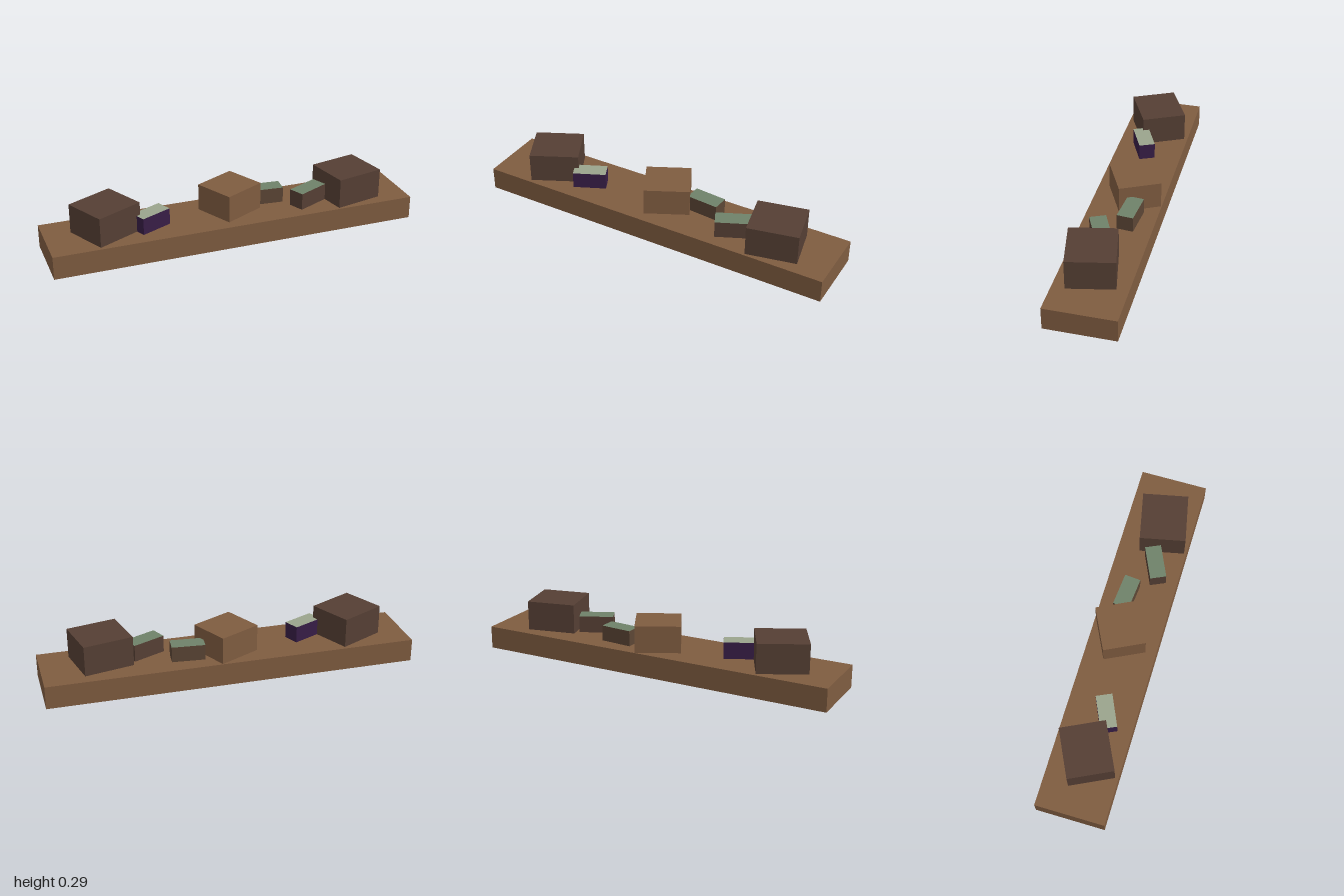
import * as THREE from 'three';

function material(name, color) {
  const m = new THREE.MeshStandardMaterial({ color });
  m.name = name;
  return m;
}

export function createModel() {
  const wood = material('wood', 0x7f5c40);
  wood.side = THREE.DoubleSide;
  const darkWood = material('dark wood', 0x553f34);
  const smallWood = material('small block brown', 0x5c4635);
  const purple = material('purple', 0x371d46);
  const green = material('green', 0x6f8269);
  const paleGreen = material('pale green', 0x9aa48c);

  const root = new THREE.Group();
  root.name = 'boardWithBlocks';

  // Hollow board, open underneath: drop the bottom face (group 3)
  const W = 2, H = 0.125, D = 0.374;
  const shell = new THREE.BoxGeometry(W, H, D);
  const index = Array.from(shell.index.array);
  index.splice(18, 6);
  shell.setIndex(index);
  shell.clearGroups();
  const board = new THREE.Mesh(shell, wood);
  board.name = 'board';
  board.position.y = H / 2;
  root.add(board);

  // Blocks standing on the board, each turned about y
  function block(name, x, z, w, d, top, turn, side, lid = side) {
    const h = top - H;
    const mesh = new THREE.Mesh(
      new THREE.BoxGeometry(w, h, d),
      [side, side, lid, side, side, side]
    );
    mesh.name = name;
    mesh.position.set(x, H + h / 2, z);
    mesh.rotation.y = turn;
    root.add(mesh);
  }

  // Large blocks
  block('rightLargeBlock', -0.682, 0, 0.268, 0.244, 0.285, 0.455, darkWood);
  block('middleLargeBlock', 0.012, -0.027, 0.244, 0.228, 0.272, 0.46, wood);
  block('leftLargeBlock', 0.678, 0.025, 0.27, 0.249, 0.288, 0.21, darkWood);

  // Small blocks with coloured tops
  block('purpleSmallBlock', -0.444, 0.032, 0.18, 0.088, 0.215, 0.43, purple, paleGreen);
  block('middleSmallBlock', 0.23, -0.056, 0.178, 0.088, 0.21, -0.09, smallWood, green);
  block('leftSmallBlock', 0.44, 0.046, 0.188, 0.088, 0.217, 0.43, darkWood, green);

  return root;
}
